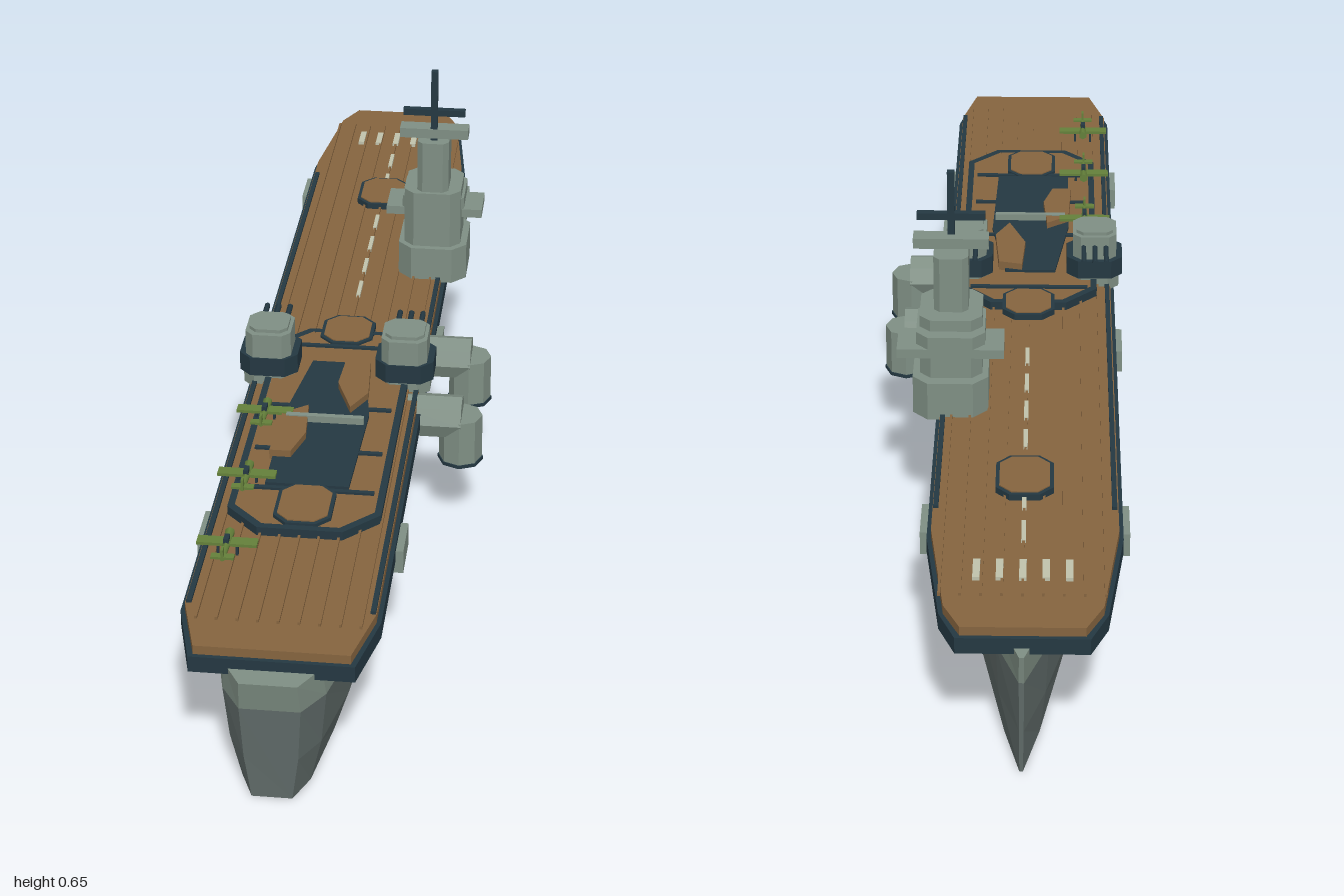
import * as THREE from 'three';

const mat = (name, color) => Object.assign(new THREE.MeshStandardMaterial({ color }), { name });

export function createModel() {
  const ship = new THREE.Group();
  ship.name = 'aircraftCarrier';
  const gray = mat('light gray', 0x7f8f84), hullGray = mat('hull gray', 0x5f6a68);
  const dark = mat('dark slate', 0x243842), wood = mat('deck brown', 0x85643f);
  const green = mat('aircraft green', 0x64803a), cream = mat('marking cream', 0xc0c2ac);
  const CX = -0.043; // ship centreline

  const add = (name, geo, material, x = 0, y = 0, z = 0, parent = ship) => {
    const m = new THREE.Mesh(geo, material);
    m.name = name;
    m.position.set(x, y, z);
    parent.add(m);
    return m;
  };
  const box = (name, w, h, d, material, x, y, z, parent) =>
    add(name, new THREE.BoxGeometry(w, h, d), material, x, y, z, parent);
  // Flat slab from an x,z outline, between heights y0 and y1
  const slab = (name, pts, y0, y1, material, hole) => {
    const v = (p) => p.map(([x, z]) => new THREE.Vector2(x, -z));
    const shape = new THREE.Shape(v(pts));
    if (hole) shape.holes.push(new THREE.Path(v(hole)));
    const geo = new THREE.ExtrudeGeometry(shape, { depth: y1 - y0, bevelEnabled: false });
    return add(name, geo.rotateX(-Math.PI / 2), material, 0, y0, 0);
  };
  // Chamfered rectangle outline
  const oct = (x0, x1, z0, z1, c) => [[x0 + c, z0], [x1 - c, z0], [x1, z0 + c], [x1, z1 - c],
    [x1 - c, z1], [x0 + c, z1], [x0, z1 - c], [x0, z0 + c]];

  // Hull: half widths along the length, scaled at each height
  const stations = [[-1, 0.004], [-0.9, 0.04], [-0.75, 0.08], [-0.5, 0.115], [-0.2, 0.128],
    [0.6, 0.128], [0.82, 0.108], [0.95, 0.078], [1, 0.046]];
  const levels = [[0, 0.67, 0.983], [0.075, 0.89, 0.985], [0.165, 1, 0.989], [0.218, 0.94, 1]];
  const hull = (name, lv, material) => {
    const pos = [], idx = [], n = lv.length * 2;
    for (const [z, half] of stations) {
      for (const [y, k, s] of lv) pos.push(CX + half * k, y, z * s);
      for (const [y, k, s] of [...lv].reverse()) pos.push(CX - half * k, y, z * s);
    }
    const last = (stations.length - 1) * n;
    for (let j = 0; j < last; j += n)
      for (let i = 0; i < n; i++) {
        const a = j + i, b = j + (i + 1) % n;
        idx.push(a, b, b + n, a, b + n, a + n);
      }
    for (let i = 1; i < n - 1; i++) idx.push(0, i + 1, i, last, last + i, last + i + 1);
    const geo = new THREE.BufferGeometry();
    geo.setAttribute('position', new THREE.Float32BufferAttribute(pos, 3));
    geo.setIndex(idx);
    const flat = geo.toNonIndexed();
    flat.computeVertexNormals();
    add(name, flat, material);
  };
  hull('lowerHull', levels.slice(0, 3), hullGray);
  hull('upperHull', levels.slice(2), gray);

  // Flight deck over a dark overhanging support
  const deck = (e) => [[-0.137 - e, -0.97 - e], [0.048 + e, -0.97 - e], [0.074 + e, -0.915], [0.1 + e, -0.71],
    [0.1 + e, 0.85], [0.074 + e, 0.958 + e], [-0.16 - e, 0.958 + e], [-0.19 - e, 0.85],
    [-0.19 - e, -0.71], [-0.164 - e, -0.915]];
  slab('deckSupport', deck(0.007), 0.208, 0.235, dark);
  slab('flightDeck', deck(0), 0.235, 0.25, wood);
  for (let i = 0; i < 9; i++)
    box('deckRib', 0.004, 0.006, 1.78, wood, CX - 0.124 + i * 0.031, 0.252, 0);

  // Deck markings
  for (let i = 0; i < 5; i++)
    box('bowStripe', 0.011, 0.006, 0.05, cream, CX - 0.07 + i * 0.035, 0.2535, -0.825);
  for (let i = 0; i < 7; i++)
    if (i !== 2) box('centreDash', 0.007, 0.006, 0.055, cream, CX, 0.2535, -0.72 + i * 0.092);

  // Raised aft platform with a dark rim
  const rim = oct(-0.165, 0.08, 0.01, 0.657, 0.055);
  const inner = oct(-0.154, 0.069, 0.022, 0.645, 0.05);
  slab('platformRim', rim, 0.25, 0.265, dark, inner);
  slab('aftPlatform', inner, 0.25, 0.263, wood);
  for (const z of [0.07, 0.28, 0.42, 0.54])
    box('platformSeam', 0.21, 0.006, 0.008, dark, CX, 0.264, z);

  // Dark painted patch with raised wooden plates and a cross bar
  slab('darkPatch', [[-0.09, 0.13], [0.0, 0.13], [0.027, 0.3], [0.02, 0.53], [-0.115, 0.53], [-0.115, 0.31]],
    0.262, 0.268, dark);
  slab('raisedPlate', [[-0.03, 0.13], [0.012, 0.14], [0.02, 0.25], [-0.005, 0.3], [-0.035, 0.22]], 0.262, 0.28, wood);
  slab('raisedPlate', [[-0.115, 0.33], [-0.075, 0.3], [-0.068, 0.39], [-0.085, 0.45], [-0.12, 0.45]], 0.262, 0.28, wood);
  box('crossBar', 0.13, 0.012, 0.01, gray, CX, 0.276, 0.335);

  // Elevators
  for (const [z0, z1, y] of [[-0.625, -0.508, 0.25], [-0.04, 0.06, 0.256], [0.53, 0.645, 0.258]]) {
    slab('elevatorFrame', oct(CX - 0.046, CX + 0.046, z0, z1, 0.022), y, y + 0.011, dark);
    slab('elevator', oct(CX - 0.04, CX + 0.04, z0 + 0.006, z1 - 0.006, 0.019), y, y + 0.013, wood);
  }

  // Side sponsons and walkways
  for (const [side, edge] of [[-1, -0.193], [1, 0.104]]) {
    for (const z of [-0.64, -0.055, 0.6])
      box('sponson', 0.03, 0.04, 0.082, gray, edge, 0.205, z);
    box('walkway', 0.008, 0.007, 1.5, dark, edge - side * 0.009, 0.2515, 0.1);
  }

  // Gun turrets with three barrels pointing to the bow
  for (const x of [-0.161, 0.073]) {
    const z = 0.145;
    slab('turretFoot', oct(x - 0.044, x + 0.044, z - 0.044, z + 0.044, 0.02), 0.243, 0.27, gray);
    slab('turretBase', oct(x - 0.05, x + 0.05, z - 0.047, z + 0.047, 0.02), 0.268, 0.302, dark);
    slab('turret', oct(x - 0.039, x + 0.039, z - 0.038, z + 0.045, 0.014), 0.302, 0.346, gray);
    slab('turretRoof', oct(x - 0.033, x + 0.033, z - 0.03, z + 0.035, 0.012), 0.346, 0.352, gray);
    for (const dx of [-0.02, 0, 0.02])
      add('gunBarrel', new THREE.CylinderGeometry(0.005, 0.005, 0.07, 6).rotateX(Math.PI / 2),
        dark, x + dx, 0.326, z - 0.066);
  }

  // Funnels: out over the side, then down
  for (const z of [0, 0.205]) {
    const pipe = new THREE.CylinderGeometry(0.038, 0.038, 0.096, 8).rotateZ(Math.PI / 2);
    const down = new THREE.CylinderGeometry(0.037, 0.037, 0.084, 8);
    pipe.computeVertexNormals();
    for (const [name, g, x, y] of [['funnelArm', pipe, 0.128, 0.217], ['funnel', down, 0.174, 0.18]]) {
      const flat = g.toNonIndexed();
      flat.computeVertexNormals();
      add(name, flat, gray, x, y, z);
    }
    add('funnelMouth', new THREE.CylinderGeometry(0.039, 0.039, 0.006, 8), dark, 0.174, 0.138, z);
  }

  // Island tower in chamfered tiers: x0, x1, z0, z1, chamfer, y0, y1
  const tiers = [
    ['islandBase', 0.02, 0.145, -0.37, -0.227, 0.025, 0.245, 0.313],
    ['islandMiddle', 0.03, 0.133, -0.35, -0.238, 0.018, 0.313, 0.42],
    ['islandTower', 0.053, 0.11, -0.32, -0.245, 0.01, 0.42, 0.517],
    ['bridgeBalcony', 0.025, 0.138, -0.372, -0.25, 0.02, 0.378, 0.4],
  ];
  for (const [name, x0, x1, z0, z1, c, y0, y1] of tiers)
    slab(name, oct(x0, x1, z0, z1, c), y0, y1, gray);
  box('bridgeWing', 0.176, 0.016, 0.075, gray, 0.082, 0.362, -0.32);
  box('topPlatform', 0.124, 0.018, 0.03, gray, 0.082, 0.53, -0.275);
  box('mast', 0.012, 0.14, 0.012, dark, 0.082, 0.581, -0.267);
  box('mastCrossbar', 0.112, 0.012, 0.012, dark, 0.082, 0.571, -0.267);

  // Parked aircraft, noses to the bow
  for (const z of [0.335, 0.535, 0.735]) {
    const plane = new THREE.Group();
    plane.name = 'aircraft';
    plane.position.set(-0.145, 0.28, z);
    ship.add(plane);
    const body = new THREE.CylinderGeometry(0.008, 0.004, 0.078, 6).rotateX(-Math.PI / 2);
    add('fuselage', body, green, 0, 0, 0, plane);
    box('wings', 0.094, 0.005, 0.02, green, 0, -0.001, -0.012, plane);
    box('tailplane', 0.036, 0.004, 0.012, green, 0, 0.002, 0.034, plane);
    box('tailFin', 0.004, 0.018, 0.012, green, 0, 0.009, 0.036, plane);
    box('canopy', 0.008, 0.008, 0.016, dark, 0, 0.008, -0.006, plane);
    for (const s of [-1, 1]) box('landingGear', 0.004, 0.022, 0.006, dark, s * 0.015, -0.013, -0.012, plane);
  }
  return ship;
}
